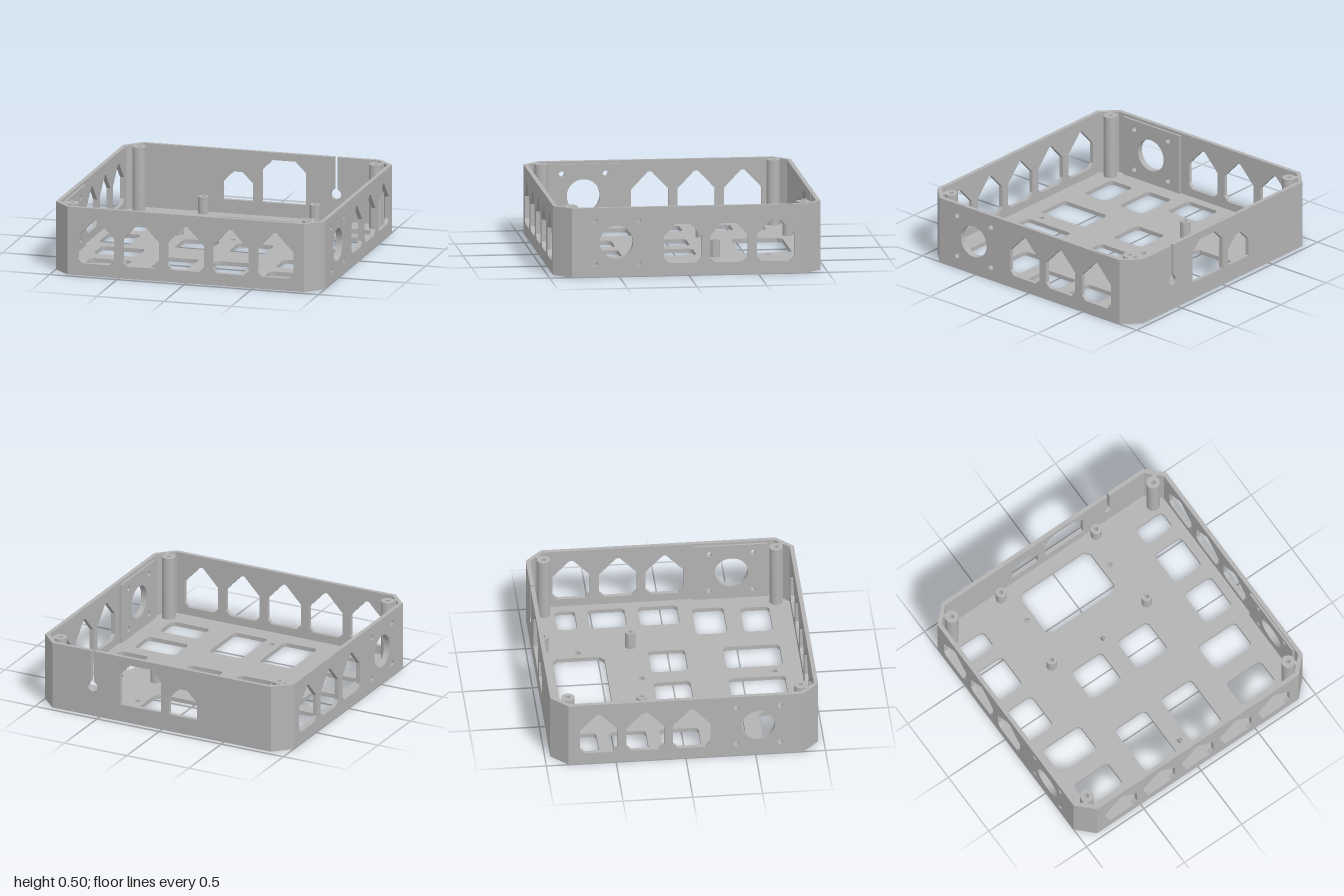
import * as THREE from 'three';
import { toCreasedNormals } from 'three/addons/utils/BufferGeometryUtils.js';

const H = 0.5, T = 0.03, X = 1, Z = 0.96, C = 0.12; // height, thickness, half sizes, corner cut

const poly = (pts, Kind = THREE.Path) => new Kind(pts.map(([x, y]) => new THREE.Vector2(x, y)));
const circle = (x, y, r) => new THREE.Path().absarc(x, y, r, 0, Math.PI * 2, false);

// Rectangular hole with rounded corners
function roundRect(x0, x1, y0, y1, r = 0.035) {
  const p = new THREE.Path();
  p.absarc(x1 - r, y1 - r, r, 0, Math.PI / 2);
  p.absarc(x0 + r, y1 - r, r, Math.PI / 2, Math.PI);
  p.absarc(x0 + r, y0 + r, r, Math.PI, Math.PI * 1.5);
  p.absarc(x1 - r, y0 + r, r, Math.PI * 1.5, Math.PI * 2);
  p.closePath();
  return p;
}

// Gabled window hole: half width w, sloped shoulders, flat top of half width f
const windowHole = (cx, w, bottom, shoulder, top, f, b = 0.035) => poly([
  [cx - w + b, bottom], [cx + w - b, bottom], [cx + w, bottom + b], [cx + w, shoulder],
  [cx + f, top], [cx - f, top], [cx - w, shoulder], [cx - w, bottom + b],
]);
const gable = (cx) => windowHole(cx, 0.135, 0.09, 0.285, 0.415, 0.012);

const rect = (x0, x1, y0, y1) => poly([[x0, y0], [x1, y0], [x1, y1], [x0, y1]], THREE.Shape);

function plate(shape, depth, holes = []) {
  shape.holes.push(...holes);
  const g = new THREE.ExtrudeGeometry(shape, { depth, bevelEnabled: false, curveSegments: 16 });
  return toCreasedNormals(g, 0.6);
}

export function createModel() {
  const model = new THREE.Group();
  model.name = 'electronicsTray';
  const grey = new THREE.MeshStandardMaterial({ color: 0xb3b3b3 });
  grey.name = 'grey';

  const add = (name, geometry, x = 0, y = 0, z = 0) => {
    const m = new THREE.Mesh(geometry, grey);
    m.name = name;
    m.position.set(x, y, z);
    model.add(m);
    return m;
  };

  // Floor: octagon with cut-outs, drawn with shape y = -z
  const outline = poly([
    [-X, -Z + C], [-X + C, -Z], [X - C, -Z], [X, -Z + C],
    [X, Z - C], [X - C, Z], [-X + C, Z], [-X, Z - C],
  ], THREE.Shape);
  const openings = [ // x range, z range of one half
    [0.665, 0.9, -0.755, -0.61], [0.665, 0.9, -0.522, -0.255], [0.665, 0.9, -0.158, 0.123],
    [0.515, 0.842, 0.225, 0.45], [0.515, 0.82, 0.57, 0.775],
    [0.067, 0.335, -0.138, 0.123], [0.067, 0.335, 0.398, 0.803],
  ];
  const floorHoles = [];
  for (const [a, b, z0, z1] of openings) {
    floorHoles.push(roundRect(a, b, -z1, -z0), roundRect(-b, -a, -z1, -z0));
  }
  floorHoles.push(poly([
    [-0.265, 0.457], [0.265, 0.457], [0.302, 0.492], [0.302, 0.792],
    [0.265, 0.827], [-0.265, 0.827], [-0.302, 0.792], [-0.302, 0.492],
  ]));
  for (const [x, z] of [[-0.364, -0.64], [0.364, -0.64], [0, -0.217], [0, 0.733]]) {
    floorHoles.push(circle(x, -z, 0.02));
  }
  add('floor', plate(outline, T, floorHoles).rotateX(-Math.PI / 2));

  // Front wall with five windows
  const fx = X - C;
  add('frontWall', plate(rect(-fx, fx, T, H), T, [-0.667, -0.334, 0, 0.334, 0.667].map(gable)), 0, 0, Z - T);

  // Back wall with a keyhole cable slot open at the top, and two windows
  const sx = 0.556, sy = 0.227, sr = 0.038, sw = 0.011, a = Math.asin(sw / sr);
  const back = new THREE.Shape();
  back.moveTo(-fx, T);
  back.lineTo(fx, T);
  back.lineTo(fx, H);
  back.lineTo(sx + sw, H);
  back.absarc(sx, sy, sr, Math.PI / 2 - a, Math.PI / 2 + a - Math.PI * 2, true);
  back.lineTo(sx - sw, H);
  back.lineTo(-fx, H);
  back.closePath();
  add('backWall', plate(back, T, [
    windowHole(-0.172, 0.113, 0.13, 0.26, 0.34, 0.033, 0.002),
    windowHole(0.17, 0.165, 0.13, 0.365, 0.445, 0.085, 0.002),
  ]), 0, 0, -Z + T - T);

  // Side walls with windows and a fan-style mount, thickened inside around the mount
  const mount = () => [
    circle(0.52, 0.25, 0.12),
    ...[0.362, 0.676].flatMap((z) => [0.097, 0.41].map((y) => circle(z, y, 0.02))),
  ];
  const sz = Z - C;
  for (const side of [1, -1]) {
    const label = side > 0 ? 'left' : 'right';
    const wall = plate(rect(-sz, sz, T, H), T, [...mount(), ...[0.043, -0.29, -0.625].map(gable)]);
    add(label + 'Wall', wall.rotateY(-Math.PI / 2), side > 0 ? X : -X + T);
    const pad = plate(rect(0.25, 0.78, T, H - 0.02), 0.015, mount());
    add(label + 'MountPad', pad.rotateY(-Math.PI / 2), side > 0 ? X - T : -X + T + 0.015);
  }

  // Hollow round post
  const post = (r, bore, height, depth) => toCreasedNormals(new THREE.LatheGeometry([
    [r, 0], [r, height], [bore, height], [bore, height - depth], [0, height - depth],
  ].map(([x, y]) => new THREE.Vector2(x, y)), 28), 0.6);

  // Cut corners, each with a screw post joined by a rib
  for (const i of [1, -1]) {
    for (const k of [1, -1]) {
      const corner = poly([
        [i * fx, -k * Z], [i * X, -k * sz], [i * (X - T), -k * (sz - 0.012)], [i * (fx - 0.012), -k * (Z - T)],
      ], THREE.Shape);
      add('cornerWall', plate(corner, H - T).rotateX(-Math.PI / 2), 0, T, 0);
      const px = i * 0.88, pz = k * 0.833;
      add('cornerPost', post(0.048, 0.016, H - T, 0.2), px, T, pz);
      const d = 0.057 * Math.SQRT1_2;
      const rib = add('cornerRib', new THREE.BoxGeometry(0.04, H - T, 0.03), px + i * d, T + (H - T) / 2, pz + k * d);
      rib.rotation.y = -i * k * Math.PI / 4;
    }
  }

  // Board standoffs
  for (const x of [-0.415, 0.415]) {
    for (const z of [-0.882, -0.257]) add('standoff', post(0.038, 0.016, 0.155 - T, 0.1), x, T, z);
  }
  return model;
}
